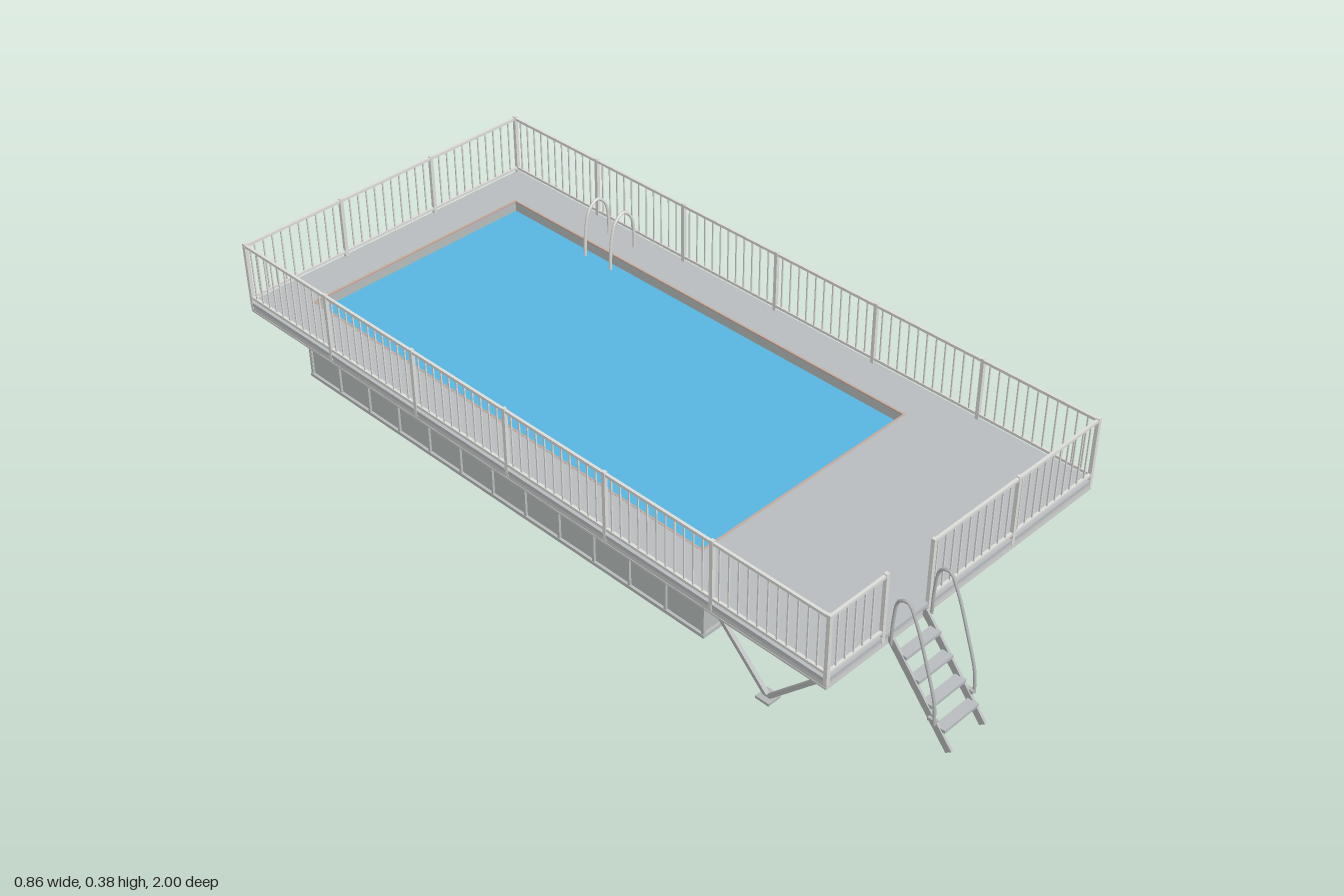
import * as THREE from 'three';

const mat = (name, color) => {
  const m = new THREE.MeshStandardMaterial({ color });
  m.name = name;
  return m;
};

export function createModel() {
  const model = new THREE.Group();
  model.name = 'raisedPool';
  const deckGrey = mat('deckGrey', 0xb8bcbe);
  const edgeGrey = mat('edgeGrey', 0xcacccb);
  const steel = mat('steel', 0xdcdcd9);
  const panelGrey = mat('panelGrey', 0xb7bcbb);
  const frameGrey = mat('frameGrey', 0xb4b7b7);
  const waterBlue = mat('waterBlue', 0x58b5e0);
  const linerBlue = mat('linerBlue', 0x2668a8);
  const rimTan = mat('rimTan', 0xc4aa9c);

  const group = (name) => {
    const g = new THREE.Group();
    g.name = name;
    model.add(g);
    return g;
  };
  const add = (parent, name, geo, m) => {
    const mesh = new THREE.Mesh(geo, m);
    mesh.name = name;
    parent.add(mesh);
    return mesh;
  };
  // Box given by its extents
  const box = (p, name, m, x0, x1, y0, y1, z0, z1) =>
    add(p, name, new THREE.BoxGeometry(x1 - x0, y1 - y0, z1 - z0), m)
      .position.set((x0 + x1) / 2, (y0 + y1) / 2, (z0 + z1) / 2);
  // Box running from point a to point b
  const beam = (p, name, m, a, b, w, h = w) => {
    const A = new THREE.Vector3(...a), B = new THREE.Vector3(...b);
    const mesh = add(p, name, new THREE.BoxGeometry(w, h, A.distanceTo(B)), m);
    mesh.position.copy(A).lerp(B, 0.5);
    mesh.lookAt(B);
  };
  // Flat rectangular frame: [halfWidth, zBack, zFront] for outline and hole
  const ring = (p, name, m, [w, b, f], [hw, hb, hf], y0, y1) => {
    const pts = (W, B, F) => [[-W, -F], [W, -F], [W, -B], [-W, -B]].map((q) => new THREE.Vector2(...q));
    const s = new THREE.Shape(pts(w, b, f));
    s.holes.push(new THREE.Path(pts(hw, hb, hf).reverse()));
    const g = new THREE.ExtrudeGeometry(s, { depth: y1 - y0, bevelEnabled: false });
    add(p, name, g.rotateX(-Math.PI / 2).translate(0, y0, 0), m);
  };
  const tube = (p, name, m, pts, r) => {
    const c = new THREE.CatmullRomCurve3(pts.map((q) => new THREE.Vector3(...q)));
    add(p, name, new THREE.TubeGeometry(c, 32, r, 8), m);
  };

  // Deck with the pool opening, edge beams and rim
  const deck = group('deck');
  ring(deck, 'deckTop', deckGrey, [0.427, -1, 0.822], [0.32, -0.89, 0.39], 0.207, 0.217);
  ring(deck, 'edgeBeam', edgeGrey, [0.426, -0.999, 0.821], [0.417, -0.99, 0.812], 0.195, 0.208);
  ring(deck, 'edgeFlange', edgeGrey, [0.427, -1, 0.822], [0.407, -0.98, 0.802], 0.19, 0.195);
  ring(deck, 'poolRim', rimTan, [0.324, -0.894, 0.394], [0.319, -0.889, 0.389], 0.214, 0.2178);
  for (let i = 0; i < 5; i++) {
    const z = 0.462 + i * 0.075;
    box(deck, 'joist', frameGrey, -0.417, 0.417, 0.193, 0.207, z - 0.013, z + 0.013);
  }

  // Pool tank, ribs, water and floor
  const tank = group('tank');
  ring(tank, 'tankWall', panelGrey, [0.335, -0.905, 0.41], [0.32, -0.89, 0.39], 0.004, 0.207);
  ring(tank, 'baseFrame', panelGrey, [0.342, -0.912, 0.417], [0.325, -0.895, 0.4], 0, 0.009);
  for (let i = 0; i <= 6; i++) {
    const x = -0.337 + (i * 0.674) / 6;
    for (const z of [-0.907, 0.412])
      box(tank, 'endRib', panelGrey, x - 0.003, x + 0.003, 0.005, 0.207, z - 0.004, z + 0.004);
  }
  for (let i = 0; i <= 12; i++) {
    const z = -0.907 + (i * 1.319) / 12;
    for (const s of [-1, 1])
      box(tank, 'sideRib', panelGrey, s * 0.337 - 0.004, s * 0.337 + 0.004, 0.005, 0.207, z - 0.003, z + 0.003);
  }
  box(tank, 'water', waterBlue, -0.321, 0.321, 0.181, 0.189, -0.891, 0.391);
  box(tank, 'floor', linerBlue, -0.335, 0.335, 0.001, 0.006, -0.905, 0.41);

  // Diagonal brackets below the overhang
  const brackets = group('deckBrackets');
  for (let i = 0; i < 7; i++) {
    const z = 0.386 - i * 0.211;
    for (const s of [-1, 1])
      beam(brackets, 'sideBracket', frameGrey, [s * 0.336, 0.163, z], [s * 0.39, 0.204, z], 0.007);
  }
  for (const x of [-0.3, -0.1, 0.1, 0.3])
    beam(brackets, 'backBracket', frameGrey, [x, 0.163, -0.908], [x, 0.204, -0.97], 0.007);

  // V-shaped legs under the front deck
  const legs = group('legs');
  for (const x of [-0.375, -0.125, 0.125, 0.375]) {
    box(legs, 'foot', frameGrey, x - 0.018, x + 0.018, 0, 0.007, 0.612, 0.648);
    beam(legs, 'frontStrut', frameGrey, [x, 0.006, 0.632], [x, 0.196, 0.815], 0.01);
    beam(legs, 'backStrut', frameGrey, [x, 0.006, 0.628], [x, 0.196, 0.435], 0.01);
  }

  // Railings: equal panels between two ends, balusters at a fixed pitch from each post
  const railing = group('railing');
  const run = ([x0, z0], [x1, z1], panels) => {
    const length = Math.hypot(x1 - x0, z1 - z0), panel = length / panels, pitch = 0.0257;
    const upright = (name, d, r, y0, y1) => {
      const x = x0 + ((x1 - x0) * d) / length, z = z0 + ((z1 - z0) * d) / length;
      box(railing, name, steel, x - r, x + r, y0, y1, z - r, z + r);
    };
    for (const y of [0.23, 0.374])
      beam(railing, y > 0.3 ? 'topRail' : 'lowerRail', steel, [x0, y, z0], [x1, y, z1], 0.007, 0.007);
    for (let i = 0; i <= panels; i++) {
      upright('post', i * panel, 0.0045, 0.2, 0.38);
      if (i === panels) break;
      for (let d = pitch; d < panel - 0.012; d += pitch) upright('baluster', i * panel + d, 0.0016, 0.23, 0.373);
    }
  };
  const X = 0.423, F = 0.818, B = -0.9955;
  run([-X, F], [-X, B], 6);
  run([X, F], [X, B], 6);
  run([-X, B], [X, B], 3);
  run([-X, F], [-0.26, F], 1);
  run([X, F], [-0.117, F], 2);

  // Entrance ladder with curved handrails
  const ladder = group('entryLadder');
  for (const [x, hx] of [[-0.241, -0.251], [-0.134, -0.125]]) {
    beam(ladder, 'stringer', frameGrey, [x, 0.008, 0.99], [x, 0.208, 0.822], 0.006, 0.018);
    tube(ladder, 'handrail', frameGrey, [[hx, 0.065, 0.955], [hx, 0.12, 0.95], [hx, 0.2, 0.925],
      [hx, 0.29, 0.892], [hx, 0.33, 0.868], [hx, 0.32, 0.845], [hx, 0.27, 0.836], [hx, 0.2, 0.834]], 0.0035);
    box(ladder, 'handrailBracket', frameGrey, Math.min(x, hx), Math.max(x, hx), 0.066, 0.074, 0.937, 0.957);
  }
  [0.855, 0.89, 0.926, 0.962].forEach((z) => {
    const y = 0.205 - (z - 0.83) * 1.17;
    box(ladder, 'step', deckGrey, -0.241, -0.134, y - 0.004, y + 0.004, z - 0.013, z + 0.013);
  });

  // Pair of arched grab rails at the pool side
  const grab = group('grabRails');
  for (const z of [-0.612, -0.522])
    tube(grab, 'grabRail', steel, [[0.382, 0.212, z], [0.382, 0.26, z], [0.373, 0.307, z], [0.345, 0.332, z],
      [0.318, 0.312, z], [0.305, 0.265, z], [0.301, 0.215, z], [0.301, 0.16, z]], 0.004);

  return model;
}
